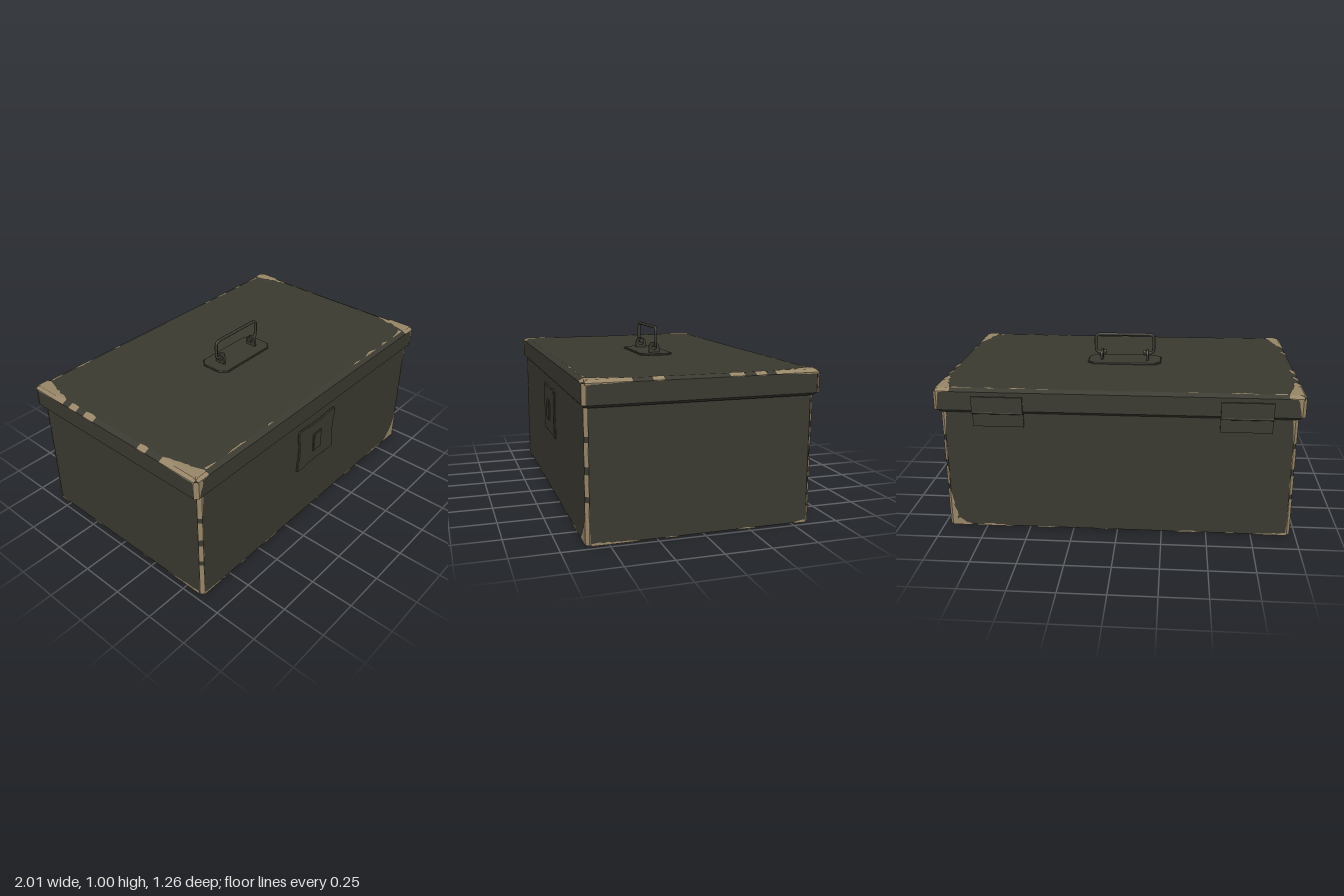
import * as THREE from 'three';

const paint = new THREE.MeshStandardMaterial({ name: 'darkOlivePaint', color: 0x3a3930 });
const bare = new THREE.MeshStandardMaterial({ name: 'wornTan', color: 0x978567, side: THREE.DoubleSide });
const V = (x, y, z) => new THREE.Vector3(x, y, z);

let seed = 7;
const rand = () => (seed = (seed * 16807) % 2147483647) / 2147483647;

function add(parent, name, geo, mat = paint, x = 0, y = 0, z = 0) {
  const m = new THREE.Mesh(geo, mat);
  m.name = name;
  m.position.set(x, y, z);
  parent.add(m);
  return m;
}

function flatGeometry(points) {
  const g = new THREE.BufferGeometry().setFromPoints(points);
  g.computeVertexNormals();
  return g;
}

// Closed shell from rectangles with clipped corners: [y, halfX, zBack, zFront, clip]
function shell(levels) {
  const rings = levels.map(([y, h, b, f, c]) => [
    [h, b + c], [h, f - c], [h - c, f], [c - h, f], [-h, f - c], [-h, b + c], [c - h, b], [h - c, b],
  ].map(([x, z]) => V(x, y, z)));
  const p = [];
  for (let i = 0; i < 8; i++) {
    const j = (i + 1) % 8;
    for (let k = 0; k < rings.length - 1; k++) {
      const r = rings[k], s = rings[k + 1];
      p.push(r[i], s[i], r[j], s[i], s[j], r[j]);
    }
    const lo = rings[0], hi = rings[rings.length - 1];
    p.push(V(0, lo[0].y, 0), lo[i], lo[j], V(0, hi[0].y, 0), hi[j], hi[i]);
  }
  return flatGeometry(p);
}

// Ragged worn paint folded over an edge between faces A and B.
// marks: [start, end, reachOnA, reachOnB, taper]; taper 1 fades out, -1 fades in, 0 bulges
function wear(parent, name, corner, u, nA, nB, cA, cB, marks) {
  const p = [];
  const lift = nA.clone().add(nB).multiplyScalar(0.0025);
  for (const [t0, t1, a, b, taper] of marks) {
    const n = Math.max(4, Math.round((t1 - t0) / 0.02));
    let prev = null;
    for (let i = 0; i <= n; i++) {
      const s = i / n;
      const env = taper > 0 ? (1 - s) ** 0.7 : taper < 0 ? s ** 0.7 : Math.sin(Math.PI * s);
      const c = corner.clone().addScaledVector(u, t0 + (t1 - t0) * s).add(lift);
      const reachA = cA + a * env * (0.65 + 0.6 * rand());
      const reachB = cB + b * env * (0.65 + 0.6 * rand());
      const row = [
        c.clone().addScaledVector(nB, -reachA), c.clone().addScaledVector(nB, -cA),
        c.clone().addScaledVector(nA, -cB), c.clone().addScaledVector(nA, -reachB),
      ];
      if (prev) for (let k = 0; k < 3; k++) p.push(prev[k], row[k], prev[k + 1], row[k], row[k + 1], prev[k + 1]);
      prev = row;
    }
  }
  add(parent, name, flatGeometry(p), bare);
}

function polygon(pts) {
  return new THREE.Shape(pts.map(([x, y]) => new THREE.Vector2(x, y)));
}

function extrude(shape, depth, bevel = 0, curveSegments = 12) {
  return new THREE.ExtrudeGeometry(shape, {
    depth: depth - bevel, bevelEnabled: bevel > 0, bevelSize: bevel, bevelOffset: -bevel,
    bevelThickness: bevel, bevelSegments: 1, curveSegments,
  });
}

function buildHandle(parent) {
  const g = new THREE.Group();
  g.name = 'handle';
  g.position.z = 0.008;
  parent.add(g);
  // Mounting plate with clipped corners
  const x = 0.22, z = 0.097, c = 0.038;
  const plate = extrude(polygon([[x, c - z], [x, z - c], [x - c, z], [c - x, z], [-x, z - c], [-x, c - z], [c - x, -z], [x - c, -z]]), 0.011, 0.004);
  add(g, 'handlePlate', plate.rotateX(-Math.PI / 2), paint, 0, 0.829, 0);
  // Lugs with a pivot hole
  const lug = new THREE.Shape();
  lug.moveTo(-0.032, 0);
  lug.lineTo(0.032, 0);
  lug.lineTo(0.032, 0.033);
  lug.absarc(0, 0.033, 0.032, 0, Math.PI, false);
  lug.lineTo(-0.032, 0);
  const hole = new THREE.Path();
  hole.absarc(0, 0.035, 0.016, 0, Math.PI * 2, true);
  lug.holes.push(hole);
  for (const s of [-1, 1]) {
    const geo = extrude(lug, 0.014).translate(0, 0, -0.007).rotateY(Math.PI / 2);
    add(g, 'handleLug', geo, paint, s * 0.138, 0.836, 0);
    add(g, 'pivotKnob', new THREE.CylinderGeometry(0.014, 0.014, 0.014, 12).rotateZ(Math.PI / 2), paint, s * 0.12, 0.883, 0);
  }
  // Bent wire grip
  const path = new THREE.CurvePath();
  const r = 0.028, w = 0.175, top = 0.991, bot = 0.877;
  const line = (a, b) => path.add(new THREE.LineCurve3(a, b));
  const bend = (a, m, b) => path.add(new THREE.QuadraticBezierCurve3(a, m, b));
  line(V(-0.115, bot, 0), V(r - w, bot, 0));
  bend(V(r - w, bot, 0), V(-w, bot, 0), V(-w, bot + r, 0));
  line(V(-w, bot + r, 0), V(-w, top - r, 0));
  bend(V(-w, top - r, 0), V(-w, top, 0), V(r - w, top, 0));
  line(V(r - w, top, 0), V(w - r, top, 0));
  bend(V(w - r, top, 0), V(w, top, 0), V(w, top - r, 0));
  line(V(w, top - r, 0), V(w, bot + r, 0));
  bend(V(w, bot + r, 0), V(w, bot, 0), V(w - r, bot, 0));
  line(V(w - r, bot, 0), V(0.115, bot, 0));
  add(g, 'handleGrip', new THREE.TubeGeometry(path, 120, 0.009, 8), paint);
}

function buildLatch(parent) {
  const g = new THREE.Group();
  g.name = 'latch';
  g.position.set(0, 0.5, 0.614);
  parent.add(g);
  // Escutcheon with slightly waisted sides, one quarter mirrored four ways
  const q = [[0.162, 0.05], [0.172, 0.085], [0.172, 0.135], [0.164, 0.143], [0.09, 0.143], [0.07, 0.137]];
  const mir = (sx, sy) => q.map(([x, y]) => [x * sx, y * sy]);
  const outline = [...mir(1, 1), ...mir(-1, 1).reverse(), ...mir(-1, -1), ...mir(1, -1).reverse()];
  add(g, 'latchPlate', extrude(polygon(outline), 0.01, 0.005));
  add(g, 'latchButton', extrude(polygon([[-0.036, -0.06], [0.036, -0.06], [0.036, 0.06], [-0.036, 0.06]]), 0.019, 0.004));
}

function buildHinges(parent) {
  for (const x of [-0.695, 0.65]) {
    const g = new THREE.Group();
    g.name = 'hinge';
    g.position.x = x;
    parent.add(g);
    add(g, 'hingeUpperLeaf', new THREE.BoxGeometry(0.28, 0.095, 0.014), paint, 0, 0.743, -0.622);
    add(g, 'hingeLowerLeaf', new THREE.BoxGeometry(0.28, 0.085, 0.014), paint, 0, 0.658, -0.602);
    add(g, 'hingeBarrel', new THREE.CylinderGeometry(0.008, 0.008, 0.28, 10).rotateZ(Math.PI / 2), paint, 0, 0.7, -0.622);
  }
}

function buildWear(parent) {
  const g = new THREE.Group();
  g.name = 'wornEdges';
  parent.add(g);
  const X = V(1, 0, 0), Y = V(0, 1, 0), Z = V(0, 0, 1), down = V(0, -1, 0);
  const lb = -0.62, lf = 0.63, bb = -0.6, bf = 0.615;
  for (const s of [-1, 1]) {
    const out = V(s, 0, 0);
    // Lid top, short sides
    wear(g, 'lidSideWear', V(s, 0.83, lb), Z, out, Y, 0.015, 0.03, [
      [0.012, 0.25, 0.008, 0.055, 1], [0.3, 0.36, 0.004, 0.006, 0], [0.42, 0.5, 0.004, 0.006, 0],
      [0.84, 0.9, 0.004, 0.005, 0], [1.0, 1.238, 0.008, 0.055, -1],
    ]);
    // Lid and body upright corners
    for (const f of [-1, 1]) {
      const face = V(0, 0, f), lz = f > 0 ? lf : lb, bz = f > 0 ? bf : bb;
      wear(g, 'lidCornerWear', V(s, 0.71, lz), Y, out, face, 0.02, 0.02, [
        [0, 0.105, 0.004, s < 0 ? 0.03 : 0.015, -1],
      ]);
      wear(g, 'bodyCornerWear', V(s * 0.967, 0.003, bz), Y, out, face, 0.018, 0.018, [
        [0, 0.22, 0.004, s > 0 ? 0.035 : 0.006, 1], [0.25, 0.36, 0.002, 0.004, 0],
        [0.4, 0.52, 0.002, 0.004, 0], [0.55, 0.69, 0.002, 0.012, -1],
      ]);
    }
    // Body foot, short sides
    wear(g, 'footSideWear', V(s * 0.967, 0.003, bb), Z, out, down, 0, 0, [
      [0.02, 0.1, 0.015, 0.008, 1], [0.3, 0.42, 0.008, 0.004, 0], [0.72, 0.82, 0.006, 0.004, 0], [0.92, 1.19, 0.018, 0.008, -1],
    ]);
  }
  for (const f of [-1, 1]) {
    const face = V(0, 0, f), lz = f > 0 ? lf : lb, bz = f > 0 ? bf : bb;
    // Lid top, long sides
    wear(g, 'lidLongWear', V(-1, 0.83, lz), X, face, Y, 0.015, 0.03, [
      [0.012, 0.09, 0.008, 0.15, 1], [1.91, 1.988, 0.008, 0.15, -1],
    ]);
    wear(g, 'lidScuffs', V(-1, 0.829, lz - f * 0.025), X, face, Y, 0, 0, [
      [0.1, 0.19, 0, 0.018, 1], [0.24, 0.42, 0, 0.014, 0], [0.56, 0.62, 0, 0.01, 0], [1.36, 1.44, 0, 0.012, 0],
      [1.48, 1.6, 0, 0.016, 0], [1.66, 1.73, 0, 0.014, 0], [1.78, 1.9, 0, 0.018, -1],
    ]);
    // Body foot, long sides
    wear(g, 'footLongWear', V(-0.967, 0.003, bz), X, face, down, 0, 0, [
      [0.02, 0.22, 0.016, 0.008, 1], [0.3, 0.36, 0.008, 0.004, 0], [0.48, 0.66, 0.01, 0.005, 0],
      [1.0, 1.08, 0.006, 0.004, 0], [1.3, 1.44, 0.009, 0.005, 0], [1.55, 1.8, 0.014, 0.006, 0],
      [1.8, 1.915, f > 0 ? 0.11 : 0.05, 0.01, -1],
    ]);
  }
}

export function createModel() {
  const box = new THREE.Group();
  box.name = 'metalBox';
  // Body, then lid with a turned-in lip and bevelled top
  add(box, 'body', shell([[0.003, 0.967, -0.6, 0.615, 0.018], [0.7, 0.967, -0.6, 0.615, 0.018]]));
  add(box, 'lid', shell([
    [0.695, 0.98, -0.605, 0.617, 0.02], [0.71, 1, -0.62, 0.63, 0.02],
    [0.815, 1, -0.62, 0.63, 0.02], [0.83, 0.97, -0.59, 0.6, 0.02],
  ]));
  buildHandle(box);
  buildLatch(box);
  buildHinges(box);
  buildWear(box);
  return box;
}
